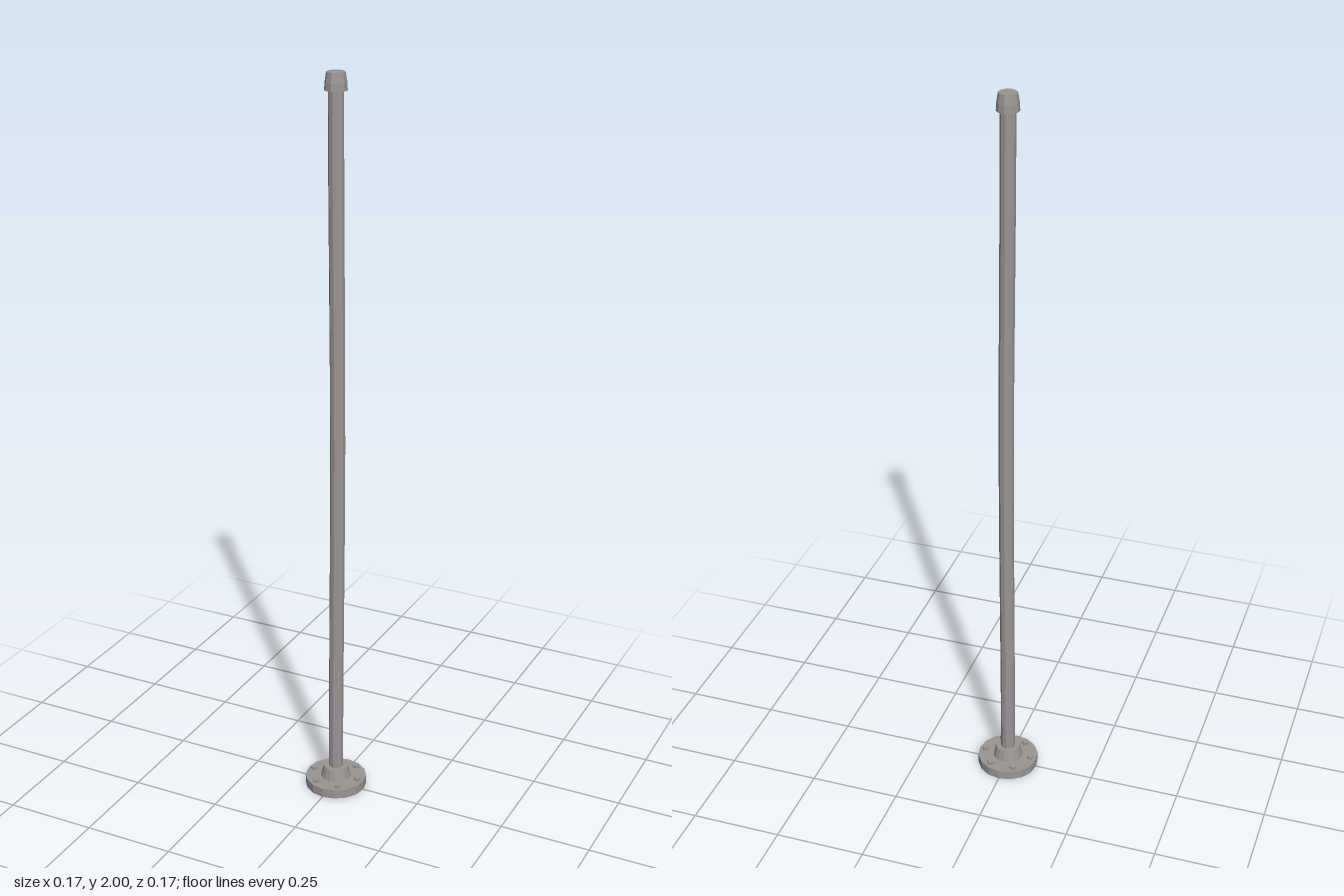
import * as THREE from 'three';

export function createModel() {
  const model = new THREE.Group();
  const steel = new THREE.MeshStandardMaterial({ color: 0x9a9694 });

  const add = (name, geometry, x = 0, y = 0, z = 0, parent = model) => {
    // Split faces so every facet keeps a hard edge
    const flat = geometry.toNonIndexed();
    flat.computeVertexNormals();
    const mesh = new THREE.Mesh(flat, steel);
    mesh.name = name;
    mesh.position.set(x, y, z);
    parent.add(mesh);
    return mesh;
  };
  const lathe = (points, sides) =>
    new THREE.LatheGeometry(points.map(([r, y]) => new THREE.Vector2(r, y)), sides);

  // Round base plate
  add('baseFlange', lathe([[0, 0], [0.085, 0], [0.085, 0.026], [0, 0.026]], 16));

  // Tapered socket holding the pole
  add('baseCollar', lathe([[0.042, 0.025], [0.034, 0.058], [0, 0.058]], 16));

  // Ring of hexagonal bolts
  const bolts = new THREE.Group();
  bolts.name = 'bolts';
  model.add(bolts);
  for (let i = 0; i < 6; i++) {
    const a = (i * Math.PI) / 3;
    const head = new THREE.CylinderGeometry(0.01, 0.01, 0.01, 6);
    head.rotateY(Math.PI / 2);
    add('bolt', head, 0.067 * Math.cos(a), 0.03, 0.067 * Math.sin(a), bolts);
  }

  // Slender pole, slightly bowed sideways around mid height
  const pole = new THREE.CylinderGeometry(0.02, 0.02, 1.92, 10, 8);
  pole.translate(0, 1.01, 0);
  const p = pole.attributes.position;
  for (let i = 0; i < p.count; i++) {
    const t = (p.getY(i) - 0.05) / 1.92;
    p.setX(i, p.getX(i) + 0.005 * Math.sin(Math.PI * t) ** 2);
  }
  add('pole', pole);

  // Tapered end cap
  add('topCap', lathe([[0, 1.955], [0.029, 1.955], [0.028, 1.975], [0.024, 2], [0, 2]], 10));

  return model;
}
